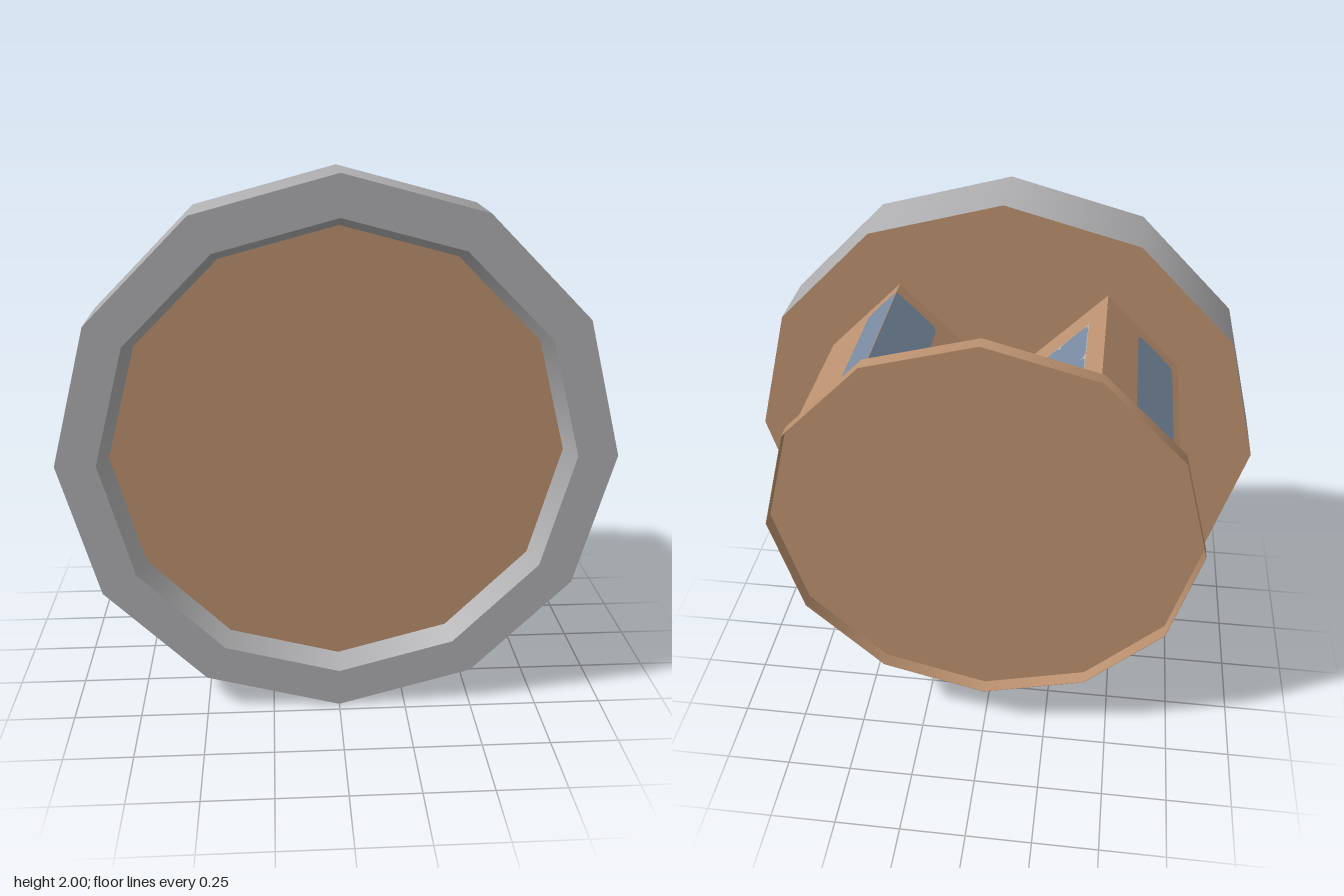
import * as THREE from 'three';

const brown = new THREE.MeshStandardMaterial({ name: 'woodBrown', color: 0xbb916f });
const grey = new THREE.MeshStandardMaterial({ name: 'rimGrey', color: 0xafafb1 });
const blue = new THREE.MeshStandardMaterial({ name: 'plateBlue', color: 0x788aa1 });

const SIDES = 12;
const FRONT = 0.465, RECESS = 0.385, RIM_BACK = 0.188, PLATE_FRONT = -0.41, PLATE_BACK = -0.465;

// Twelve-sided band between two [radius, z] points, turned about the z axis
function band(name, material, from, to) {
  const pts = [from, to].map(([r, z]) => new THREE.Vector2(r, z));
  const mesh = new THREE.Mesh(new THREE.LatheGeometry(pts, SIDES).rotateX(Math.PI / 2), material);
  mesh.name = name;
  return mesh;
}

// Rectangle whose start and end corners can be rounded separately
function roundedRect(w, h, r0, r1) {
  const s = new THREE.Shape();
  s.moveTo(r0, 0);
  s.lineTo(w - r1, 0);
  if (r1) s.quadraticCurveTo(w, 0, w, r1);
  s.lineTo(w, h - r1);
  if (r1) s.quadraticCurveTo(w, h, w - r1, h);
  s.lineTo(r0, h);
  if (r0) s.quadraticCurveTo(0, h, 0, h - r0);
  s.lineTo(0, r0);
  if (r0) s.quadraticCurveTo(0, 0, r0, 0);
  return new THREE.ShapeGeometry(s, 4);
}

// Thin face on the cross, running counter-clockwise from a to b
function patch(name, material, a, b, { z0 = -0.39, z1 = 0.12, r0 = 0.03, r1 = 0.03, lift = 0.002 } = {}) {
  const start = new THREE.Vector3(a[0], a[1], z0);
  const along = new THREE.Vector3(b[0], b[1], z0).sub(start);
  const geo = roundedRect(along.length(), z1 - z0, r0, r1);
  const up = new THREE.Vector3(0, 0, 1);
  along.normalize();
  const normal = along.clone().cross(up);
  const m = new THREE.Matrix4().makeBasis(along, up, normal);
  m.setPosition(start.addScaledVector(normal, lift));
  const mesh = new THREE.Mesh(geo.applyMatrix4(m), material);
  mesh.name = name;
  return mesh;
}

export function createModel() {
  const model = new THREE.Group();
  model.name = 'wheel';
  const body = new THREE.Group();
  body.name = 'wheelBody';
  body.position.y = 1;
  model.add(body);

  // Front rim with a shallow tapered recess
  body.add(
    band('rimOuter', grey, [1, RIM_BACK], [1, FRONT]),
    band('rimFace', grey, [1, FRONT], [0.855, FRONT]),
    band('rimInner', grey, [0.855, FRONT], [0.82, RECESS]),
    band('frontPanel', brown, [0.82, RECESS], [0, RECESS]),
    band('rimBack', brown, [0, RIM_BACK], [1, RIM_BACK])
  );

  // Back plate: a shallow dish with a thin wall, open to the rear
  const floor = PLATE_FRONT - 0.002;
  body.add(
    band('backDishWallOutside', brown, [0.8, PLATE_BACK], [0.8, PLATE_FRONT]),
    band('backDishWallInside', brown, [0.798, floor], [0.798, PLATE_BACK]),
    band('backDishLip', brown, [0.798, PLATE_BACK], [0.8, PLATE_BACK]),
    band('backDishFront', brown, [0.8, PLATE_FRONT], [0, PLATE_FRONT]),
    band('backDishFloor', brown, [0, floor], [0.798, floor])
  );

  // Diagonal four-armed cross
  const half = 0.198, reach = 0.75, corners = [];
  for (let i = 0; i < 4; i++) {
    const turn = Math.PI / 4 + i * Math.PI / 2;
    for (const [x, y] of [[reach, -half], [reach, half], [half, half]]) {
      corners.push(new THREE.Vector2(x, y).rotateAround(new THREE.Vector2(), turn));
    }
  }
  const cross = new THREE.Mesh(
    new THREE.ExtrudeGeometry(new THREE.Shape(corners), { depth: RIM_BACK - PLATE_FRONT, bevelEnabled: false }),
    brown
  );
  cross.name = 'cross';
  cross.position.z = PLATE_FRONT;
  body.add(cross);

  // Painted plates: one on the end and one on a side of each arm
  body.add(
    patch('upperLeftEndPlate', blue, [0.5, 0.56], [0.39, 0.67], { r1: 0 }),
    patch('upperLeftSidePlate', blue, [0.39, 0.67], [0.245, 0.525], { r0: 0 }),
    patch('upperRightEndPlate', blue, [-0.51, 0.55], [-0.645, 0.415]),
    patch('lowerRightEndPlate', blue, [-0.5, -0.56], [-0.4, -0.66]),
    patch('lowerRightSidePlate', blue, [-0.38, -0.66], [-0.275, -0.555]),
    patch('lowerLeftEndPlate', blue, [0.545, -0.515], [0.655, -0.405]),
    patch('lowerLeftSidePlate', blue, [0.475, -0.195], [0.335, -0.055])
  );

  // Four small panes on a grey backing
  body.add(patch('paneBacking', grey, [-0.13, 0.41], [-0.33, 0.61], { z1: 0.07, r0: 0, r1: 0 }));
  for (const s of [0, 1]) {
    for (const t of [0, 1]) {
      const x = 0.13 + s * 0.1, z0 = -0.39 + t * 0.225;
      body.add(patch('pane', blue, [-x, x + 0.28], [-x - 0.1, x + 0.38], { z0, z1: z0 + 0.225, lift: 0.005 }));
    }
  }
  return model;
}
